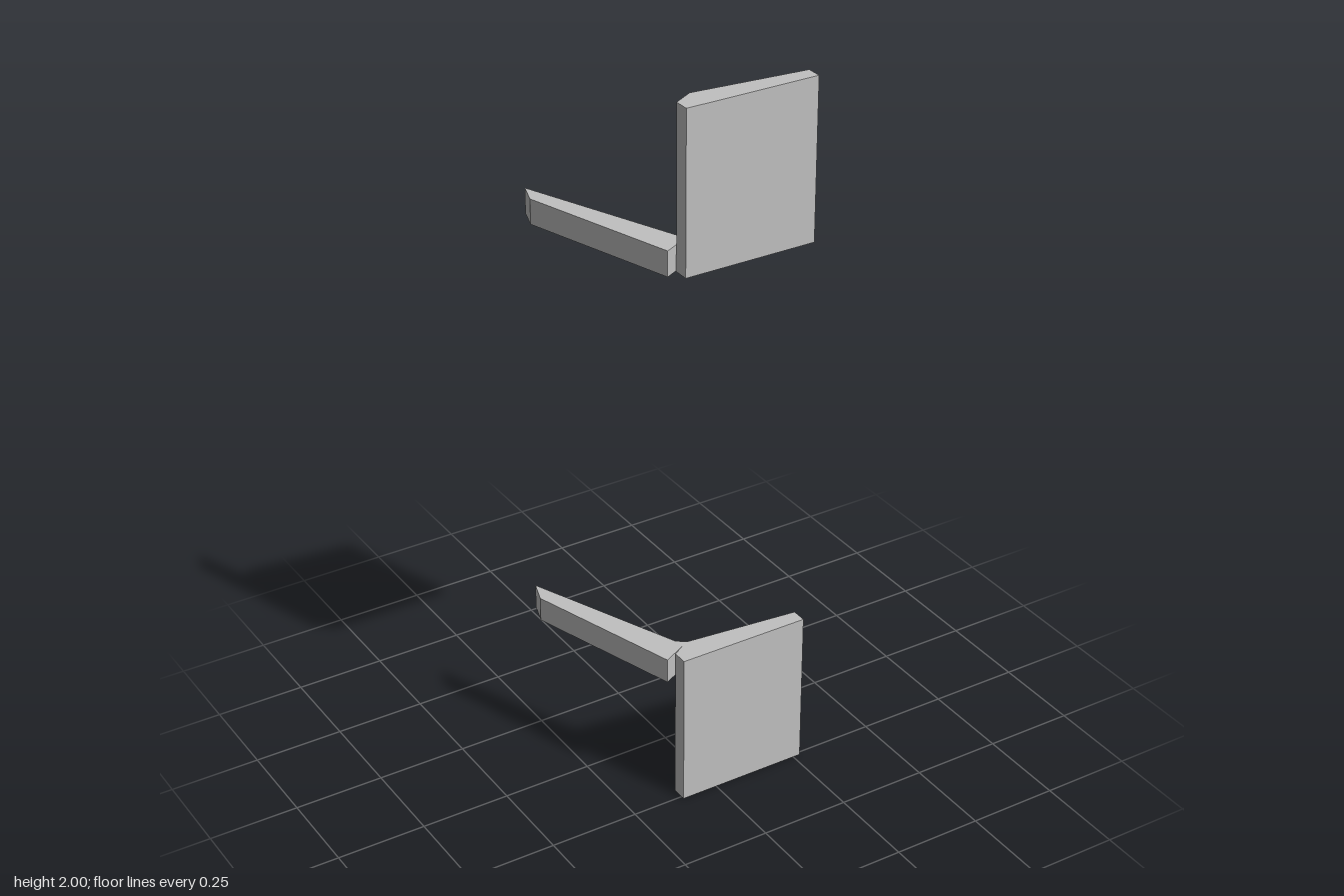
import * as THREE from 'three';

// Upright prism from a plan outline of [x, z] points, between two heights
function prism(name, outline, y0, y1, material) {
  const shape = new THREE.Shape(outline.map(([x, z]) => new THREE.Vector2(x, -z)));
  const geometry = new THREE.ExtrudeGeometry(shape, { depth: y1 - y0, bevelEnabled: false });
  geometry.rotateX(-Math.PI / 2);
  geometry.translate(0, y0, 0);
  const mesh = new THREE.Mesh(geometry, material);
  mesh.name = name;
  return mesh;
}

export function createModel() {
  const group = new THREE.Group();
  group.name = 'bracketPair';
  const grey = new THREE.MeshStandardMaterial({ name: 'grey', color: 0xc0c0c0 });

  // Tapered plate, thickest beside the arm
  const plate = [[-0.104, 0.26], [0.271, 0.26], [0.271, 0.218], [-0.048, 0.186], [-0.104, 0.217]];
  // Slanted arm reaching backwards, mitred against the plate
  const arm = [[-0.137, 0.231], [-0.048, 0.186], [-0.073, 0.167], [-0.252, -0.261], [-0.273, -0.198]];

  // The upper bracket mirrors the lower one about y = 1
  for (const [side, flip] of [['lower', false], ['upper', true]]) {
    const span = (a, b) => (flip ? [2 - b, 2 - a] : [a, b]);
    group.add(prism(side + 'Plate', plate, ...span(0, 0.443), grey));
    group.add(prism(side + 'Arm', arm, ...span(0.373, 0.443), grey));
  }
  return group;
}
